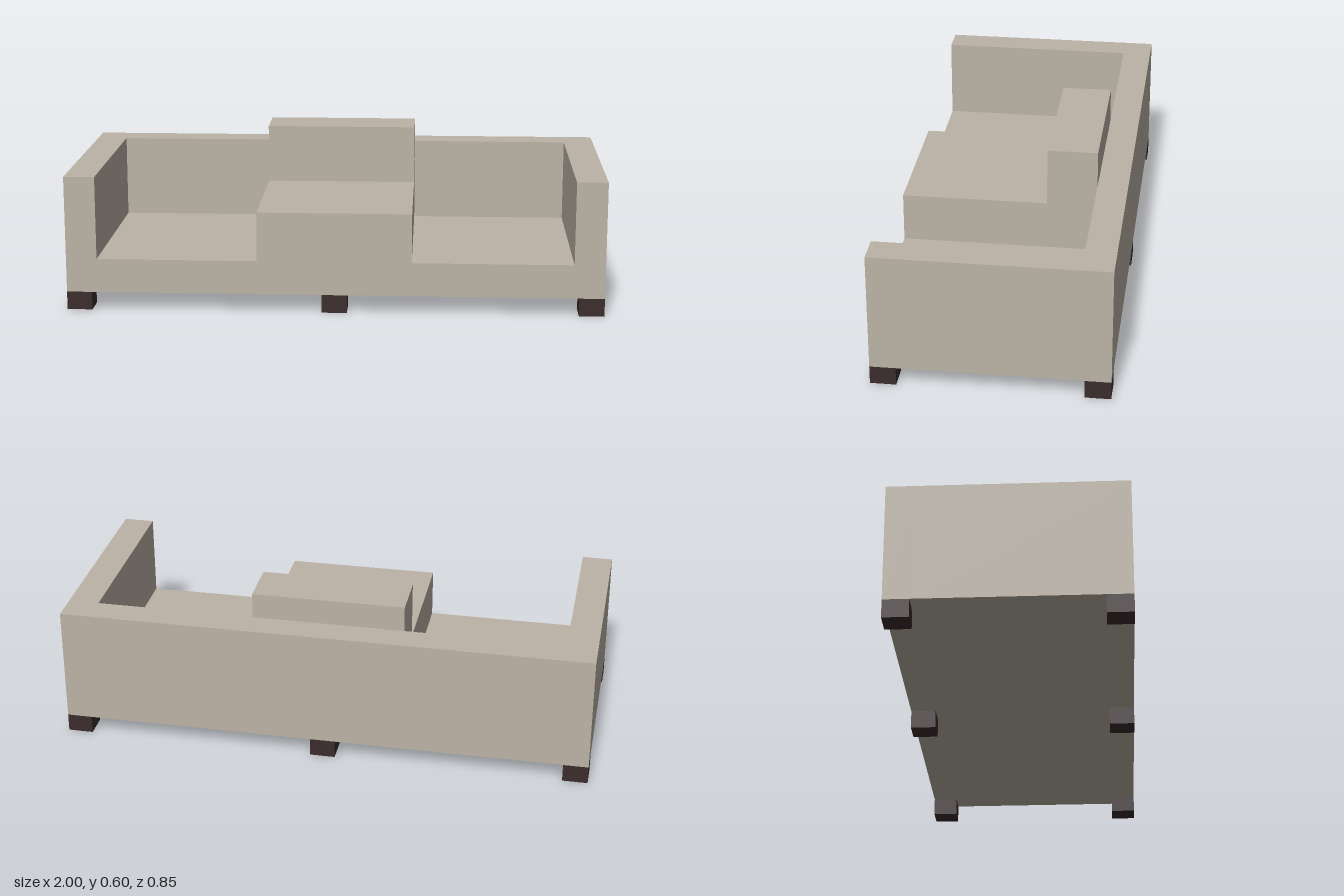
import * as THREE from 'three';

const fabric = new THREE.MeshStandardMaterial({ color: 0xbcb3a6 });
fabric.name = 'beige fabric';
const wood = new THREE.MeshStandardMaterial({ color: 0x3b2c2d });
wood.name = 'dark wood';

// Box given by its lower and upper corners
function box(name, material, [x0, y0, z0], [x1, y1, z1]) {
  const mesh = new THREE.Mesh(new THREE.BoxGeometry(x1 - x0, y1 - y0, z1 - z0), material);
  mesh.position.set((x0 + x1) / 2, (y0 + y1) / 2, (z0 + z1) / 2);
  mesh.name = name;
  return mesh;
}

export function createModel() {
  const group = new THREE.Group();
  group.name = 'sofa';

  const halfDepth = 0.427, backZ = -0.315;
  const bottom = 0.068, seatY = 0.195, middleY = 0.38, armY = 0.507;
  const armX = 0.885, middleX = 0.287;

  // Base, arms, seats and raised middle, as one front profile
  const half = [[1, bottom], [1, armY], [armX, armY], [armX, seatY], [middleX, seatY], [middleX, middleY]];
  const mirrored = half.map(([x, y]) => [-x, y]).reverse();
  const profile = new THREE.Shape([...half, ...mirrored].map(([x, y]) => new THREE.Vector2(x, y)));
  const body = new THREE.Mesh(
    new THREE.ExtrudeGeometry(profile, { depth: halfDepth - backZ, bevelEnabled: false }), fabric);
  body.position.z = backZ;
  body.name = 'seatAndArms';
  group.add(body);

  // Back panel and the taller middle cushion
  group.add(box('back', fabric, [-1, bottom, -halfDepth], [1, armY, backZ]));
  group.add(box('middleBackrest', fabric, [-middleX, middleY, -0.308], [middleX, 0.6, -0.12]));

  // Six block feet
  const w = 0.047;
  for (const x of [-1 + w, 0, 1 - w]) {
    for (const z of [-halfDepth + w, halfDepth - w]) {
      group.add(box('foot', wood, [x - w, 0, z - w], [x + w, bottom, z + w]));
    }
  }
  return group;
}
